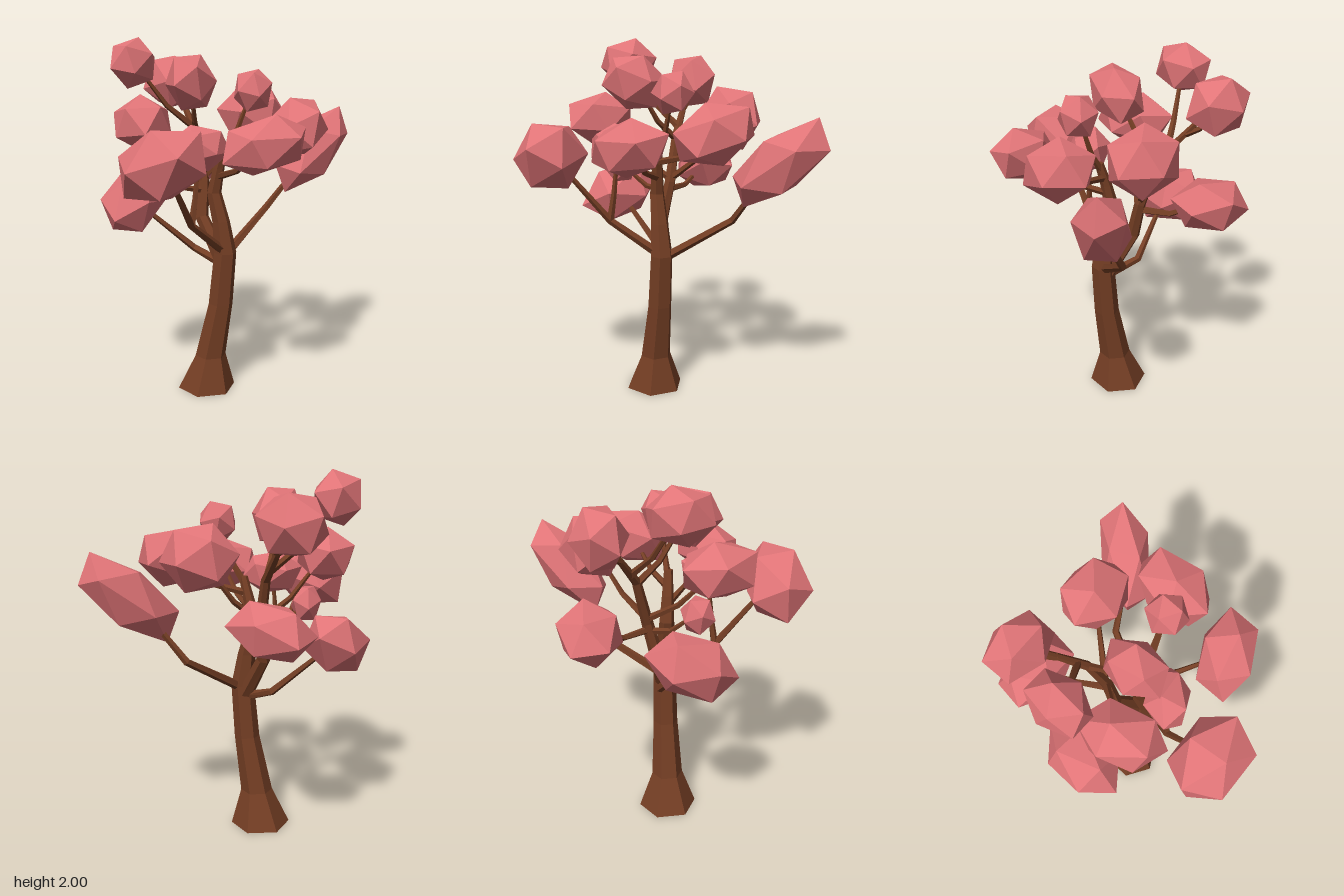
import * as THREE from 'three';

const bark = new THREE.MeshStandardMaterial({ color: 0x743e24, flatShading: true });
bark.name = 'bark brown';
const blossom = new THREE.MeshStandardMaterial({ color: 0xe07477, flatShading: true });
blossom.name = 'blossom pink';
const UP = new THREE.Vector3(0, 1, 0);
const vec = (x, y, z) => new THREE.Vector3(x, y, z);

// Tapered faceted limb along a path; level keeps its rings horizontal
function limb(name, path, radii, sides, level = false) {
  const last = path.length - 1;
  const pos = [], index = [];
  path.forEach((c, i) => {
    const dir = path[Math.min(i + 1, last)].clone().sub(path[Math.max(i - 1, 0)]).normalize();
    const q = new THREE.Quaternion();
    if (!level) q.setFromUnitVectors(UP, dir);
    for (let s = 0; s < sides; s++) {
      const a = (s / sides) * Math.PI * 2;
      const v = vec(Math.sin(a), 0, Math.cos(a)).multiplyScalar(radii[i]).applyQuaternion(q).add(c);
      pos.push(v.x, v.y, v.z);
    }
  });
  for (let i = 0; i < last; i++) {
    for (let s = 0; s < sides; s++) {
      const a = i * sides + s, b = i * sides + (s + 1) % sides;
      index.push(a, b, b + sides, a, b + sides, a + sides);
    }
  }
  // End caps
  for (let s = 1; s < sides - 1; s++) {
    const t = last * sides;
    index.push(0, s + 1, s, t, t + s, t + s + 1);
  }
  const g = new THREE.BufferGeometry();
  g.setAttribute('position', new THREE.Float32BufferAttribute(pos, 3));
  g.setIndex(index);
  const flat = g.toNonIndexed();
  flat.computeVertexNormals();
  const mesh = new THREE.Mesh(flat, bark);
  mesh.name = name;
  return mesh;
}

// Point on a rising path at a given height
function pointAtHeight(path, y) {
  let i = 0;
  while (i < path.length - 2 && path[i + 1].y < y) i++;
  return path[i].clone().lerp(path[i + 1], (y - path[i].y) / (path[i + 1].y - path[i].y));
}

// Icosahedron turned, drawn out along an axis by its length, then sized by its half extents
function leafClump(name, centre, half, turn, axis) {
  const g = new THREE.IcosahedronGeometry(1, 0);
  g.rotateX(turn).rotateY(turn * 1.7).rotateZ(turn * 0.6);
  if (axis) {
    const d = axis.clone().normalize(), stretch = axis.length() * 0.5;
    const p = g.attributes.position, v = vec(0, 0, 0);
    for (let i = 0; i < p.count; i++) {
      v.fromBufferAttribute(p, i);
      v.addScaledVector(d, v.dot(d) * stretch);
      p.setXYZ(i, v.x, v.y, v.z);
    }
  }
  g.center();
  const m = g.boundingBox.max;
  g.scale(half.x / m.x, half.y / m.y, half.z / m.z);
  g.translate(centre.x, centre.y, centre.z);
  g.computeVertexNormals();
  const mesh = new THREE.Mesh(g, blossom);
  mesh.name = name;
  return mesh;
}

export function createModel() {
  const tree = new THREE.Group();
  tree.name = 'tree';

  // Curving six-sided trunk with a flared foot
  const trunk = [
    vec(-0.058, 0, -0.025), vec(-0.033, 0.2, -0.023), vec(0.028, 0.52, -0.023), vec(0.054, 0.82, -0.023),
    vec(0.03, 1, -0.02), vec(-0.01, 1.16, -0.02), vec(0.02, 1.3, -0.01), vec(0.06, 1.43, 0),
  ];
  tree.add(limb('trunk', trunk, [0.166, 0.089, 0.07, 0.064, 0.05, 0.041, 0.032, 0.024], 6, true));

  // Heavy second limb leaning back and to the right
  const fork = [
    vec(0.04, 0.76, -0.03), vec(-0.105, 1, -0.09), vec(-0.11, 1.2, -0.14),
    vec(-0.17, 1.45, -0.2), vec(-0.33, 1.68, -0.34),
  ];
  tree.add(limb('secondLimb', fork, [0.045, 0.038, 0.032, 0.025, 0.014], 6));

  // A leaf clump on a thin sagging branch that leaves its parent at the given height
  let count = 0;
  function bough(parent, height, centre, half, axis, bend) {
    count++;
    const start = pointAtHeight(parent, height);
    const tip = start.clone().lerp(centre, 0.9);
    const middle = bend ?? start.clone().lerp(tip, 0.5).add(vec(0, -0.04, 0));
    const path = [start, middle, tip];
    const thick = height < 1 ? 0.028 : 0.021;
    tree.add(limb('branch' + count, path, [thick, thick * 0.75, thick * 0.45], 5));
    tree.add(leafClump('leafClump' + count, centre, half, count * 0.7, axis));
    return path;
  }

  // Low boughs
  bough(trunk, 0.8, vec(0.44, 1.36, -0.525), vec(0.18, 0.245, 0.21), vec(1.2, 1.3, -1.4), vec(0.2, 1.02, -0.38));
  bough(trunk, 0.75, vec(-0.475, 1.1, 0.035), vec(0.15, 0.16, 0.24), vec(0, -0.4, 1), vec(-0.15, 0.82, -0.08));
  const frontBough = bough(trunk, 0.82, vec(-0.09, 1.385, 0.555), vec(0.225, 0.175, 0.175), vec(1, 0.35, 0), vec(-0.05, 1.02, 0.24));
  bough(frontBough, 1.02, vec(-0.02, 1.43, 0.2), vec(0.14, 0.12, 0.137), vec(1, 0, -0.5));

  // Boughs of the second limb
  bough(fork, 1.16, vec(-0.32, 1.25, -0.455), vec(0.21, 0.145, 0.165), vec(1, 0.2, 0));
  bough(fork, 1.15, vec(-0.27, 1.29, 0.1), vec(0.085, 0.09, 0.085));
  bough(fork, 1.22, vec(-0.34, 1.55, 0.195), vec(0.165, 0.15, 0.205), vec(0.3, 0, 1));
  bough(fork, 1.22, vec(0.1, 1.57, -0.405), vec(0.2, 0.17, 0.175));
  bough(fork, 1.44, vec(-0.11, 1.76, 0.07), vec(0.13, 0.145, 0.18), vec(0, 0.2, 1));
  bough(fork, 1.5, vec(-0.485, 1.86, -0.03), vec(0.125, 0.14, 0.15));
  bough(fork, 1.6, vec(-0.395, 1.75, -0.395), vec(0.175, 0.15, 0.145));

  // Boughs of the trunk top
  bough(trunk, 1.38, vec(0.205, 1.72, -0.02), vec(0.105, 0.11, 0.1));
  bough(trunk, 1.25, vec(0.345, 1.465, 0.27), vec(0.19, 0.155, 0.165), vec(1, 0.3, -0.5));
  bough(trunk, 1.34, vec(0.42, 1.525, -0.155), vec(0.155, 0.155, 0.225), vec(0, -0.3, 1));
  return tree;
}
